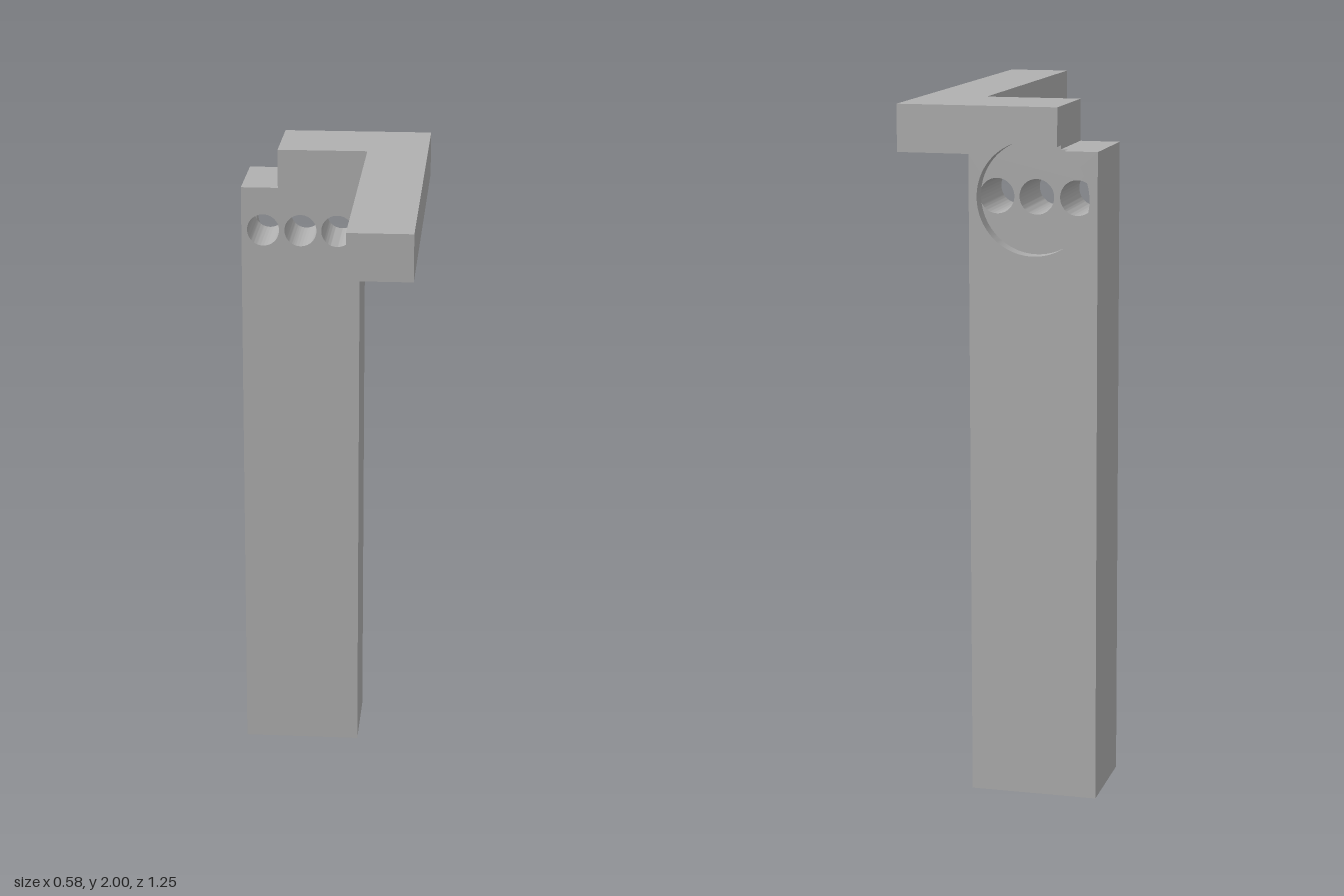
import * as THREE from 'three';
import { toCreasedNormals } from 'three/addons/utils/BufferGeometryUtils.js';

const BACK = -0.626, RECESS = -0.58, FRONT = -0.35, END = 0.626;
const CX = -0.105, CY = 1.745, R = 0.162; // round recess on the back
const LEDGE = 1.88, STEP = -0.175;

// Silhouette of the post and its head, optionally bitten by the round recess
function outline(withRecess) {
  const s = new THREE.Shape();
  s.moveTo(-0.29, 0);
  s.lineTo(0.08, 0);
  s.lineTo(0.08, 1.865);
  s.lineTo(0.288, 1.865);
  s.lineTo(0.288, 2);
  s.lineTo(STEP, 2);
  if (withRecess) {
    const dx = STEP - CX, dy = LEDGE - CY;
    const from = Math.atan2(Math.sqrt(R * R - dx * dx), dx);
    const to = Math.atan2(dy, -Math.sqrt(R * R - dy * dy));
    s.absarc(CX, CY, R, from, to, true);
  } else {
    s.lineTo(STEP, LEDGE);
  }
  s.lineTo(-0.29, LEDGE);
  s.closePath();
  return s;
}

function slab(shape, z0, z1) {
  const g = new THREE.ExtrudeGeometry(shape, { depth: z1 - z0, bevelEnabled: false, curveSegments: 48 });
  g.translate(0, 0, z0);
  return toCreasedNormals(g, 0.5);
}

export function createModel() {
  const grey = new THREE.MeshStandardMaterial({ color: 0xb0b0b0 });
  grey.name = 'grey';
  const model = new THREE.Group();
  model.name = 'bracket';
  const add = (name, geometry) => {
    const mesh = new THREE.Mesh(geometry, grey);
    mesh.name = name;
    model.add(mesh);
    return mesh;
  };

  // Front layer of the post with three through holes
  const front = outline(false);
  for (const dx of [-0.117, 0, 0.115]) {
    front.holes.push(new THREE.Path().absarc(CX + dx, CY, 0.05, 0, Math.PI * 2, true));
  }
  add('postFront', slab(front, RECESS, FRONT));

  // Back layer, open where the round recess is
  add('postBack', slab(outline(true), BACK, RECESS));

  // Long arm reaching forward from the head
  add('arm', new THREE.BoxGeometry(0.186, 0.135, END - FRONT))
    .position.set(0.195, 1.9325, (END + FRONT) / 2);

  return model;
}
